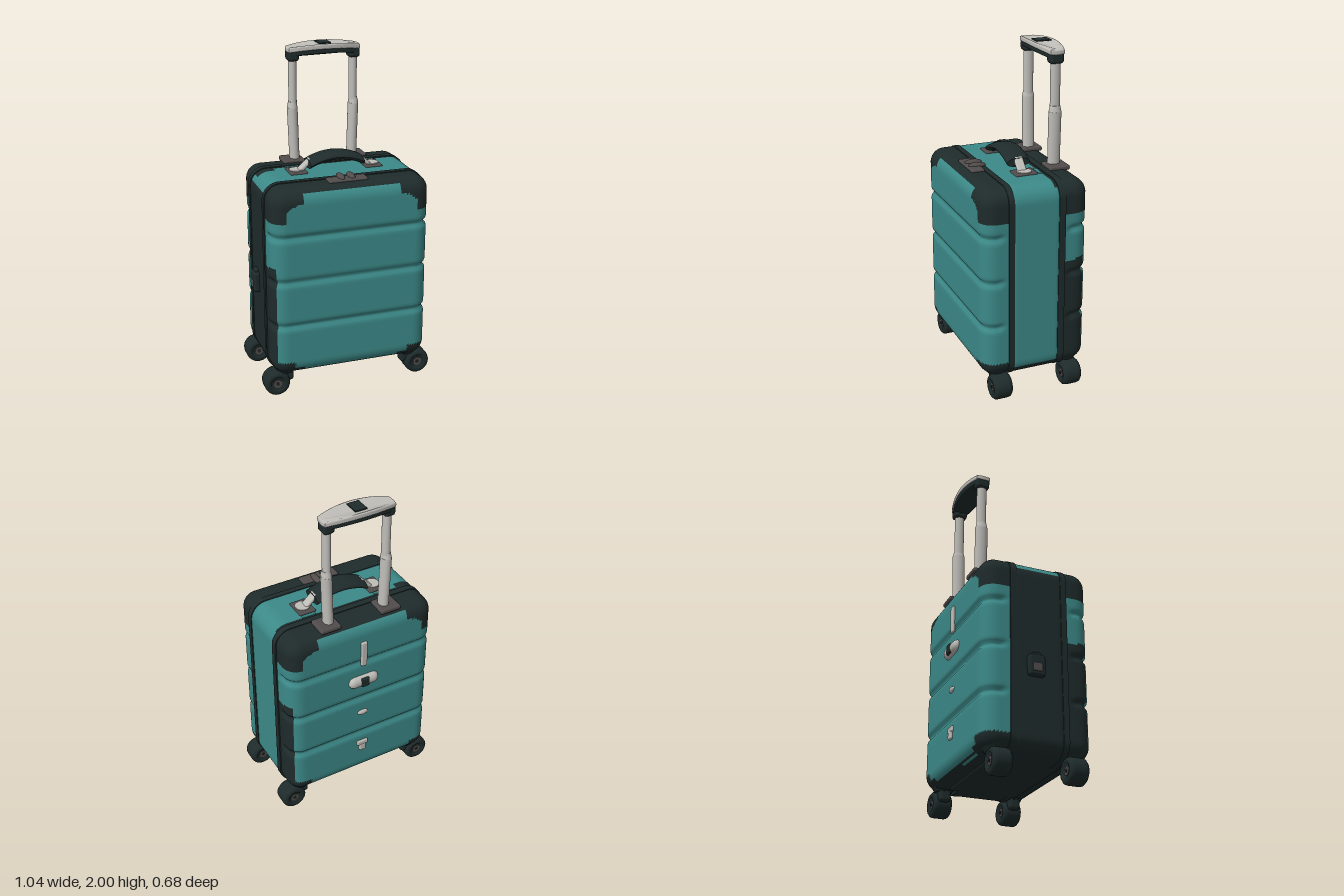
import * as THREE from 'three';
import { mergeVertices } from 'three/addons/utils/BufferGeometryUtils.js';
import { RoundedBoxGeometry } from 'three/addons/geometries/RoundedBoxGeometry.js';

const paint = (name, color) => Object.assign(new THREE.MeshStandardMaterial({ color }), { name });
const TOP = 1.29;
const GROOVES = [1.01, 0.74, 0.465];

export function createModel() {
  const teal = paint('teal shell', 0x3c8a89);
  const black = paint('black trim', 0x1f2b2b);
  const grey = paint('dark grey plastic', 0x524c4c);
  const silver = paint('silver', 0xbfbdb8);

  const model = new THREE.Group();
  model.name = 'suitcase';

  function add(name, geometry, material, x = 0, y = 0, z = 0, parent = model) {
    const mesh = new THREE.Mesh(geometry, material);
    mesh.name = name;
    mesh.position.set(x, y, z);
    parent.add(mesh);
    return mesh;
  }
  const rbox = (w, h, d, r) => new RoundedBoxGeometry(w, h, d, 2, r);

  // Moves every vertex of a geometry by a rule
  function warp(geometry, rule) {
    const p = geometry.attributes.position;
    const v = new THREE.Vector3();
    for (let i = 0; i < p.count; i++) {
      rule(v.fromBufferAttribute(p, i));
      p.setXYZ(i, v.x, v.y, v.z);
    }
    geometry.computeVertexNormals();
    return geometry;
  }

  // Body slice from z = 0 to depth, with rounded corners; isDark sorts the faces into two colours
  function bodySlice(halfW, y0, y1, depth, r, roundFront, isDark) {
    const h = y1 - y0;
    let g = new THREE.BoxGeometry(2 * halfW, h, depth, 56, 84, 8);
    g.translate(0, y0 + h / 2, depth / 2);
    g.deleteAttribute('uv');
    g.deleteAttribute('normal');
    g = mergeVertices(g, 1e-5);
    const core = new THREE.Vector3();
    warp(g, (v) => {
      core.set(
        THREE.MathUtils.clamp(v.x, -halfW + r, halfW - r),
        THREE.MathUtils.clamp(v.y, y0 + r, y1 - r),
        roundFront ? Math.min(v.z, depth - r) : v.z);
      const y = v.y;
      const fade = roundFront ? THREE.MathUtils.smoothstep(v.z, 0.03, 0.07) : 0;
      v.sub(core);
      const len = v.length();
      if (len > 0) v.multiplyScalar(Math.max(Math.abs(v.x), Math.abs(v.y), Math.abs(v.z)) / len);
      let dent = 0;
      for (const gy of GROOVES) dent += Math.exp(-(((y - gy) / 0.016) ** 2));
      v.multiplyScalar(1 - 0.2 * fade * dent).add(core);
    });
    const p = g.attributes.position;
    const lists = [[], []];
    for (let i = 0; i < g.index.count; i += 3) {
      const t = [0, 1, 2].map((k) => g.index.getX(i + k));
      const x = t.reduce((s, k) => s + Math.abs(p.getX(k)), 0) / 3;
      const y = t.reduce((s, k) => s + p.getY(k), 0) / 3;
      lists[isDark(x, y) ? 1 : 0].push(...t);
    }
    g.setIndex([...lists[0], ...lists[1]]);
    g.addGroup(0, lists[0].length, 0);
    g.addGroup(lists[0].length, lists[1].length, 1);
    return g;
  }

  // Front and back shells with dark corner guards
  const guard = (x, y) => {
    const dx = 0.478 - x, dy = TOP - y, by = y - 0.145;
    const upper = (dx < 0.19 && dy < 0.085) || (dx < 0.08 && dy < 0.19)
      || (dx < 0.17 && dy < 0.19 && Math.hypot(0.17 - dx, 0.19 - dy) > 0.105);
    const lower = by < 0.012 || (dx < 0.19 && by < 0.045) || (dx < 0.13 && by < 0.09);
    return upper || lower;
  };
  add('frontShell', bodySlice(0.478, 0.145, TOP, 0.165, 0.09, true, guard), [teal, black], 0, 0, 0.175);
  const back = add('backShell', bodySlice(0.478, 0.145, TOP, 0.175, 0.09, true, guard), [teal, black], 0, 0, -0.135);
  back.rotation.y = Math.PI;

  // Middle section and the two zip bands
  add('middleSection', bodySlice(0.481, 0.132, TOP, 0.305, 0.1, false, (x, y) => y < 0.19),
    [teal, black], 0, 0, -0.135);
  function band(name, z0, z1) {
    const w = 0.486, a = 0.13, b = TOP + 0.005, r = 0.102;
    const s = new THREE.Shape();
    s.moveTo(-w + r, a);
    s.absarc(w - r, a + r, r, -Math.PI / 2, 0);
    s.absarc(w - r, b - r, r, 0, Math.PI / 2);
    s.absarc(-w + r, b - r, r, Math.PI / 2, Math.PI);
    s.absarc(-w + r, a + r, r, Math.PI, Math.PI * 1.5);
    add(name, new THREE.ExtrudeGeometry(s, { depth: z1 - z0, bevelEnabled: false, curveSegments: 12 }), black, 0, 0, z0);
  }
  band('frontZipBand', 0.155, 0.19);
  band('backZipBand', -0.155, -0.115);
  add('basePlate', rbox(0.62, 0.04, 0.42, 0.015), black, 0, 0.15, 0.01);

  // Wheels with housings
  const tyre = new THREE.LatheGeometry(
    [[0, -0.045], [0.04, -0.045], [0.044, -0.056], [0.062, -0.056], [0.074, -0.045], [0.077, -0.03],
      [0.077, 0.03], [0.074, 0.045], [0.062, 0.056], [0.044, 0.056], [0.04, 0.045], [0, 0.045]]
      .map(([x, y]) => new THREE.Vector2(x, y)), 32).rotateX(Math.PI / 2);
  const hub = new THREE.CylinderGeometry(0.026, 0.026, 0.1, 20).rotateX(Math.PI / 2);
  const cap = new THREE.CylinderGeometry(0.01, 0.01, 0.108, 12).rotateX(Math.PI / 2);
  for (const sx of [-1, 1]) for (const z of [0.232, -0.21]) {
    const wheel = new THREE.Group();
    wheel.name = 'wheel';
    wheel.position.set(sx * 0.445, 0.077, z);
    model.add(wheel);
    add('tyre', tyre, black, 0, 0, 0, wheel);
    add('hub', hub, grey, 0, 0, 0, wheel);
    add('axleCap', cap, black, 0, 0, 0, wheel);
    add('fork', rbox(0.07, 0.09, 0.07, 0.02), black, -sx * 0.07, 0.045, 0, wheel);
    add('housing', new THREE.CylinderGeometry(0.085, 0.05, 0.06, 24), black, -sx * 0.06, 0.09, 0, wheel);
  }

  // Telescopic handle
  for (const sx of [-1, 1]) {
    const lower = add('lowerTube', new THREE.CylinderGeometry(0.031, 0.03, 0.34, 24).scale(1, 1, 1.25), silver, sx * 0.185, 1.45, -0.215);
    lower.rotation.z = -sx * 0.03;
    add('tubeShoulder', new THREE.CylinderGeometry(0.024, 0.031, 0.04, 24).scale(1, 1, 1.25), silver, sx * 0.19, 1.635, -0.215);
    add('upperTube', new THREE.CylinderGeometry(0.024, 0.024, 0.3, 24).scale(1, 1, 1.25), silver, sx * 0.187, 1.77, -0.215);
    add('tubeCollar', rbox(0.068, 0.065, 0.085, 0.018), black, sx * 0.187, 1.93, -0.215);
    add('tubeSocket', rbox(0.13, 0.03, 0.13, 0.012), grey, sx * 0.195, 1.295, -0.222);
  }
  // Arched, lens-shaped grip plate
  function gripPlate(s, depth) {
    const c = new THREE.Shape();
    c.moveTo(-0.21 * s, -0.04 * s);
    c.quadraticCurveTo(0, -0.105 * s, 0.21 * s, -0.04 * s);
    c.quadraticCurveTo(0.222 * s, 0, 0.21 * s, 0.04 * s);
    c.quadraticCurveTo(0, 0.105 * s, -0.21 * s, 0.04 * s);
    c.quadraticCurveTo(-0.222 * s, 0, -0.21 * s, -0.04 * s);
    const g = new THREE.ExtrudeGeometry(c, {
      depth, bevelThickness: 0.008, bevelSize: 0.008, bevelOffset: -0.005, bevelSegments: 3, curveSegments: 20,
    }).rotateX(-Math.PI / 2);
    return warp(g, (v) => { v.y -= 0.35 * v.x * v.x; });
  }
  add('pullGripTop', gripPlate(1.02, 0.014), silver, 0, 1.974, -0.215);
  add('pullGripUnderside', gripPlate(0.94, 0.02), black, 0, 1.948, -0.215);
  add('releaseButton', rbox(0.075, 0.008, 0.095, 0.003), black, 0, 1.996, -0.213);

  // Carry handle on top
  const grip = new THREE.CylinderGeometry(0.026, 0.026, 0.33, 24, 20).rotateZ(Math.PI / 2).scale(1, 1, 2.8);
  add('carryGrip', warp(grip, (v) => { v.y -= 1.5 * v.x * v.x; }), black, 0, 1.374, 0);
  for (const sx of [-1, 1]) {
    add('carryPlate', rbox(0.105, 0.02, 0.135, 0.008), grey, sx * 0.23, 1.29, -0.007);
    add('carryDisc', new THREE.CylinderGeometry(0.043, 0.045, 0.014, 24), silver, sx * 0.232, 1.297, -0.007);
    const arm = add('carryArm', rbox(0.1, 0.024, 0.055, 0.01), silver, sx * 0.182, 1.325, -0.003);
    arm.rotation.z = -sx * 0.75;
    add('carryRest', rbox(0.085, 0.012, 0.02, 0.005), teal, sx * 0.235, 1.292, -0.09);
  }

  // Zip pulls
  add('zipPlate', rbox(0.235, 0.022, 0.08, 0.01), grey, 0, 1.291, 0.225);
  for (const sx of [-1, 1]) {
    add('zipPull', new THREE.SphereGeometry(1, 20, 12).scale(0.022, 0.02, 0.054), grey, sx * 0.031, 1.3, 0.203);
  }

  // Side lock
  add('lockBody', rbox(0.045, 0.125, 0.1, 0.015), black, -0.492, 0.635, -0.007);
  add('lockFace', rbox(0.02, 0.05, 0.06, 0.008), grey, -0.508, 0.62, -0.007);
  add('lockHook', rbox(0.03, 0.03, 0.05, 0.01), black, -0.488, 0.7, -0.007);

  // Fittings on the back
  add('backStrip', rbox(0.04, 0.17, 0.02, 0.009), silver, 0, 1.075, -0.315);
  const badge = new THREE.CapsuleGeometry(0.038, 0.12, 6, 16).rotateZ(Math.PI / 2).scale(1, 1, 0.8);
  add('backBadge', badge, silver, 0, 0.88, -0.311);
  add('backBadgeCentre', rbox(0.055, 0.06, 0.02, 0.008), black, 0, 0.88, -0.334);
  add('backStud', new THREE.SphereGeometry(1, 18, 10).scale(0.036, 0.018, 0.014), silver, 0, 0.63, -0.31);
  add('backClipTop', rbox(0.075, 0.035, 0.024, 0.01), silver, 0, 0.385, -0.31);
  add('backClipTab', rbox(0.045, 0.05, 0.03, 0.01), silver, 0, 0.352, -0.31);

  return model;
}
